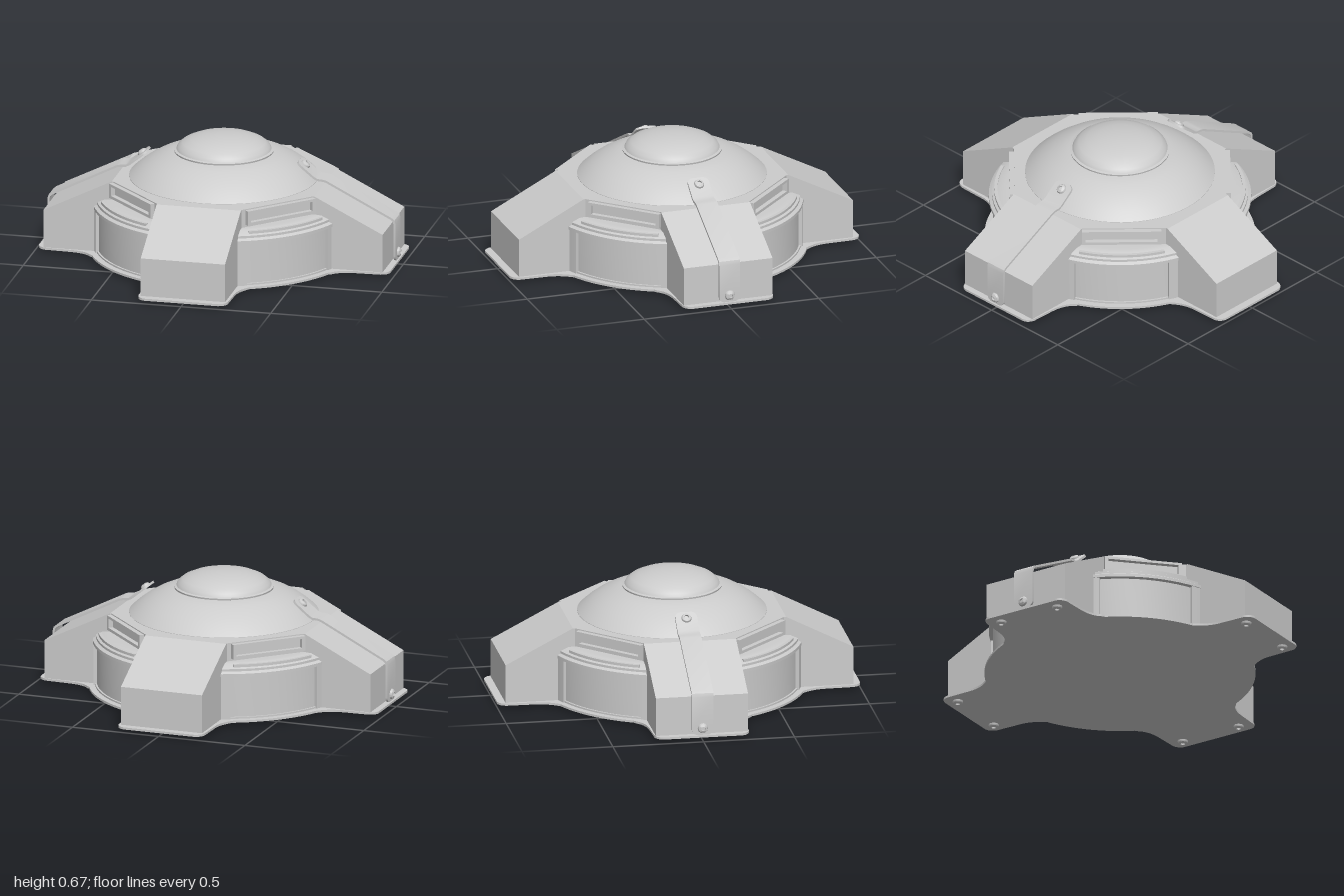
import * as THREE from 'three';
import { toCreasedNormals } from 'three/addons/utils/BufferGeometryUtils.js';

const material = new THREE.MeshStandardMaterial({ color: 0xcccccc });
const V2 = (x, y) => new THREE.Vector2(x, y);

function add(parent, name, geometry) {
  const mesh = new THREE.Mesh(geometry, material);
  mesh.name = name;
  parent.add(mesh);
  return mesh;
}

// Flat outline in x/z raised from y0 to y1
function slab(shape, y0, y1) {
  const g = new THREE.ExtrudeGeometry(shape, { depth: y1 - y0, bevelEnabled: false, curveSegments: 20 });
  return g.rotateX(-Math.PI / 2).translate(0, y0, 0);
}

// Ring sector between two angles in degrees
function sector(r0, r1, a0, a1, y0, y1) {
  const s = new THREE.Shape();
  const [p, q] = [a0, a1].map(THREE.MathUtils.degToRad);
  s.absarc(0, 0, r1, p, q, false);
  s.absarc(0, 0, r0, q, p, true);
  return toCreasedNormals(slab(s, y0, y1), 0.5);
}

function lathe(points, segments = 64) {
  return toCreasedNormals(new THREE.LatheGeometry(points.map(p => V2(...p)), segments), 0.6);
}

// Repeat one quadrant outline (from +x axis to +y axis) in all four quadrants
function mirrorQuadrant(points) {
  const out = [];
  [[1, 1], [-1, 1], [-1, -1], [1, -1]].forEach(([sx, sy], i) => {
    const list = i % 2 ? [...points].reverse() : points;
    list.forEach(p => out.push(V2(p.x * sx, p.y * sy)));
  });
  return new THREE.Shape(out);
}

// Tapered arm: side profile extruded across its width, pointing to +x
function armGeometry(knee, end, width) {
  const s = new THREE.Shape([V2(0.3, 0.032), V2(end, 0.032), V2(end, 0.25), V2(knee, 0.44), V2(0.3, 0.44)]);
  return new THREE.ExtrudeGeometry(s, { depth: width, bevelEnabled: false }).translate(0, 0, -width / 2);
}

// Bent strip with rounded ends, lofted from rectangular sections
function strapGeometry() {
  const path = [[0.965, 0.037], [0.965, 0.25], [0.96, 0.268], [0.945, 0.28], [0.585, 0.463],
    [0.565, 0.468], [0.535, 0.47], [0.515, 0.48], [0.42, 0.557]].map(p => V2(...p));
  const ends = [[0, 0.034], [0.007, 0.048], [0.016, 0.056], [0.03, 0.06]];
  const along = (a, b, d) => a.clone().add(b.clone().sub(a).setLength(d));
  const last = path.length - 1;
  const stations = [
    ...ends.map(([d, w]) => [along(path[0], path[1], d), w]),
    ...path.slice(1, last).map(p => [p, 0.06]),
    ...[...ends].reverse().map(([d, w]) => [along(path[last], path[last - 1], d), w]),
  ];
  const pos = [], index = [], half = 0.006;
  stations.forEach(([p, w], i) => {
    const before = stations[Math.max(i - 1, 0)][0];
    const after = stations[Math.min(i + 1, stations.length - 1)][0];
    const t = after.clone().sub(before).normalize();
    const nx = t.y * half, ny = -t.x * half;
    [[1, w], [1, -w], [-1, -w], [-1, w]].forEach(([s, z]) => pos.push(p.x + nx * s, p.y + ny * s, z));
    if (i === 0) return;
    const a = (i - 1) * 4, b = i * 4;
    for (let k = 0; k < 4; k++) {
      const m = (k + 1) % 4;
      index.push(a + k, a + m, b + m, a + k, b + m, b + k);
    }
  });
  const e = (stations.length - 1) * 4;
  index.push(0, 3, 2, 0, 2, 1, e, e + 1, e + 2, e, e + 2, e + 3);
  const g = new THREE.BufferGeometry();
  g.setAttribute('position', new THREE.Float32BufferAttribute(pos, 3));
  g.setIndex(index);
  return toCreasedNormals(g, 0.5);
}

// Round screw head with a socket, pointing along dir
const screwHead = lathe([[0.028, -0.006], [0.028, 0.004], [0.024, 0.012], [0.012, 0.018],
  [0.012, 0.008], [0, 0.008]], 18);
function addScrew(parent, name, at, dir) {
  const screw = add(parent, name, screwHead);
  screw.position.set(...at);
  screw.quaternion.setFromUnitVectors(new THREE.Vector3(0, 1, 0), new THREE.Vector3(...dir).normalize());
}

export function createModel() {
  const model = new THREE.Group();
  model.name = 'domedHousing';

  // Base plate: rounded cross merged with a disc
  const edge = new THREE.Path();
  edge.moveTo(0.98, 0);
  edge.lineTo(0.98, 0.215);
  edge.quadraticCurveTo(0.975, 0.25, 0.935, 0.26);
  edge.lineTo(0.80, 0.265);
  edge.quadraticCurveTo(0.71, 0.27, 0.675, 0.315);
  edge.absarc(0, 0, 0.735, 0.46, Math.PI / 2 - 0.43, false);
  edge.quadraticCurveTo(0.255, 0.73, 0.253, 0.80);
  edge.lineTo(0.25, 0.95);
  edge.quadraticCurveTo(0.245, 0.99, 0.205, 1);
  edge.lineTo(0, 1);
  add(model, 'basePlate', slab(mirrorQuadrant(edge.getPoints(8)), 0.024, 0.036));

  // Drum with a stepped shoulder
  add(model, 'drum', lathe([[0.69, 0.03], [0.69, 0.272], [0.712, 0.275], [0.712, 0.292], [0.695, 0.302],
    [0.695, 0.315], [0.655, 0.335], [0.62, 0.338], [0.5, 0.338]], 72));

  // Eight-sided upper body
  add(model, 'upperBody', slab(mirrorQuadrant([V2(0.56, 0.25), V2(0.235, 0.575)]), 0.3, 0.44));

  // Arms, long pair front and back
  for (let i = 0; i < 4; i++) {
    const side = i % 2 === 0;
    const arm = add(model, side ? 'sideArm' : 'endArm',
      side ? armGeometry(0.565, 0.945, 0.508) : armGeometry(0.587, 0.957, 0.47));
    arm.rotation.y = i * Math.PI / 2;
  }

  // Four corner bays: panel posts, shoulder rib and vent frame
  const frame = new THREE.Shape([V2(-0.215, 0.352), V2(0.215, 0.352), V2(0.215, 0.434), V2(-0.215, 0.434)]);
  frame.holes.push(new THREE.Path([V2(-0.195, 0.368), V2(-0.195, 0.42), V2(0.195, 0.42), V2(0.195, 0.368)]));
  const ventFrame = new THREE.ExtrudeGeometry(frame, { depth: 0.04, bevelEnabled: false }).translate(0, 0, 0.56);
  for (const sx of [1, -1]) for (const sz of [1, -1]) {
    const bay = new THREE.Group();
    bay.name = 'cornerBay';
    // Angles are measured from the +x axis of the quadrant
    const mid = sx > 0 ? (sz > 0 ? -45 : 45) : (sz > 0 ? -135 : 135);
    for (const d of [-1, 1]) {
      const a = mid + d * 23.5;
      add(bay, 'panelPost', sector(0.66, 0.708, a - 2.2, a + 2.2, 0.03, 0.28));
    }
    add(bay, 'panelSill', sector(0.66, 0.70, mid - 23, mid + 23, 0.03, 0.045));
    add(bay, 'shoulderRib', sector(0.664, 0.682, mid - 20, mid + 20, 0.31, 0.336));
    add(bay, 'ventFrame', ventFrame).rotation.y = Math.atan2(sx, sz);
    model.add(bay);
  }

  // Main dome and raised cap
  add(model, 'dome', lathe([[0.515, 0.43], [0.515, 0.442], [0.50, 0.456], [0.47, 0.482], [0.43, 0.512], [0.38, 0.541],
    [0.33, 0.563], [0.28, 0.579], [0.2, 0.585]]));
  add(model, 'cap', lathe([[0.25, 0.575], [0.27, 0.581], [0.272, 0.59], [0.258, 0.594], [0.25, 0.61], [0.225, 0.63],
    [0.18, 0.65], [0.12, 0.664], [0.06, 0.671], [0, 0.673]]));

  // Straps over the side arms with a screw at each end
  const strap = strapGeometry();
  for (const turn of [0, Math.PI]) {
    const group = new THREE.Group();
    group.name = 'sideStrap';
    add(group, 'strap', strap);
    addScrew(group, 'strapLowerScrew', [0.97, 0.075, 0], [1, 0, 0]);
    addScrew(group, 'strapUpperScrew', [0.454, 0.534, 0], [0.63, 0.777, 0]);
    group.rotation.y = turn;
    model.add(group);
  }

  // Screws under the plate corners
  for (const sx of [1, -1]) for (const sz of [1, -1]) {
    addScrew(model, 'baseScrew', [sx * 0.18, 0.024, sz * 0.93], [0, -1, 0]);
    addScrew(model, 'baseScrew', [sx * 0.91, 0.024, sz * 0.18], [0, -1, 0]);
  }
  return model;
}
